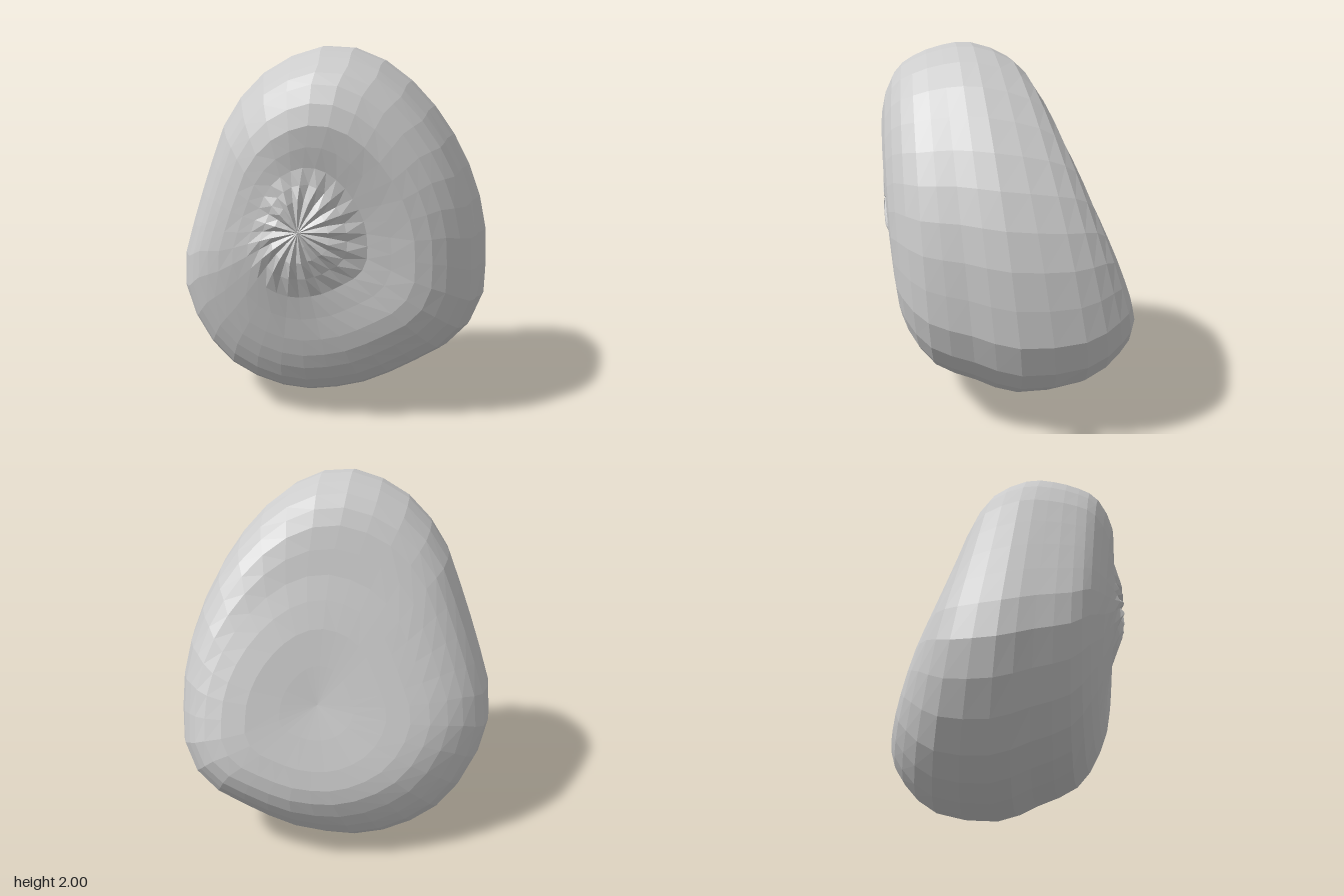
import * as THREE from 'three';

// Widest outline of the stone, anticlockwise from its left side (x, y)
const OUTLINE = [
  [0.85, 0.8], [0.83, 1.05], [0.75, 1.32], [0.6, 1.6], [0.4, 1.83], [0.2, 1.96], [0, 2],
  [-0.2, 1.95], [-0.38, 1.84], [-0.56, 1.62], [-0.68, 1.32], [-0.78, 1.03], [-0.85, 0.77],
  [-0.84, 0.6], [-0.78, 0.42], [-0.69, 0.27], [-0.55, 0.13], [-0.38, 0.05], [-0.2, 0],
  [0, 0.01], [0.22, 0.06], [0.5, 0.2], [0.69, 0.32], [0.8, 0.46], [0.85, 0.62],
];

// Rings from front to back: centre x, y, z, half width, half height, z tilt across, z tilt upwards
const RINGS = [
  [-0.14, 1.12, 0.645, 0, 0, 0, 0],             // front tip
  [-0.13, 1.12, 0.635, 0.14, 0.16, -0.015, 0],  // small bump
  [-0.1, 1.1, 0.585, 0.3, 0.34, -0.03, 0.02],   // groove around it
  [-0.06, 1.08, 0.58, 0.5, 0.57, 0.01, 0.05],   // front ridge
  [-0.04, 1.085, 0.52, 0.64, 0.755, 0.02, 0.045],
  [-0.01, 1.05, 0.41, 0.745, 0.88, 0, 0.05],
  [-0.01, 1.03, 0.23, 0.8, 0.955, -0.02, 0.08],
  [0, 1, 0.04, 0.85, 1, -0.05, 0.11],           // widest ring
  [0.01, 0.99, -0.215, 0.82, 0.935, -0.1, 0.165],
  [0.03, 1.0, -0.36, 0.72, 0.78, -0.12, 0.2],
  [0.07, 0.97, -0.445, 0.58, 0.57, -0.11, 0.2], // back ridge
  [0.08, 0.93, -0.485, 0.36, 0.35, -0.08, 0.13],
  [0.08, 0.9, -0.47, 0, 0, 0, 0],               // back hollow
];

const SIDES = 32;
const BANDS = (RINGS.length - 1) * 2;

function stoneGeometry() {
  const outline = new THREE.CatmullRomCurve3(
    OUTLINE.map(([x, y]) => new THREE.Vector3(x / 0.85, y - 1, 0)), true);
  const positions = [];
  const index = [];

  // One smooth meridian from front to back for each point of the outline
  for (let j = 0; j < SIDES; j++) {
    const p = outline.getPointAt(j / SIDES);
    const meridian = new THREE.CatmullRomCurve3(RINGS.map(([cx, cy, cz, w, h, tx, ty], i) => {
      const spike = i === 1 ? (j % 2 ? 0.012 : -0.012) : 0; // star folds at the tip
      return new THREE.Vector3(cx + w * p.x, cy + h * p.y, cz + tx * p.x + ty * p.y + spike);
    }), false, 'catmullrom', 0.5);
    for (const v of meridian.getPoints(BANDS)) positions.push(v.x, v.y, v.z);
  }

  const at = (i, j) => (j % SIDES) * (BANDS + 1) + i;
  for (let j = 0; j < SIDES; j++) {
    for (let i = 0; i < BANDS; i++) {
      const a = at(i, j), b = at(i + 1, j), c = at(i + 1, j + 1), d = at(i, j + 1);
      if (i < BANDS - 1) index.push(a, b, c);
      else index.push(a, b, d);
      if (i > 0 && i < BANDS - 1) index.push(a, c, d);
    }
  }

  const geometry = new THREE.BufferGeometry();
  geometry.setAttribute('position', new THREE.Float32BufferAttribute(positions, 3));
  geometry.setIndex(index);
  geometry.computeVertexNormals();
  return geometry;
}

export function createModel() {
  const group = new THREE.Group();
  group.name = 'rock';
  const stone = new THREE.Mesh(
    stoneGeometry(),
    new THREE.MeshStandardMaterial({ color: 0xcccccc, flatShading: true }));
  stone.name = 'stone';

  // Rest the stone on the ground
  stone.geometry.computeBoundingBox();
  stone.position.y = -stone.geometry.boundingBox.min.y;
  group.add(stone);
  return group;
}
